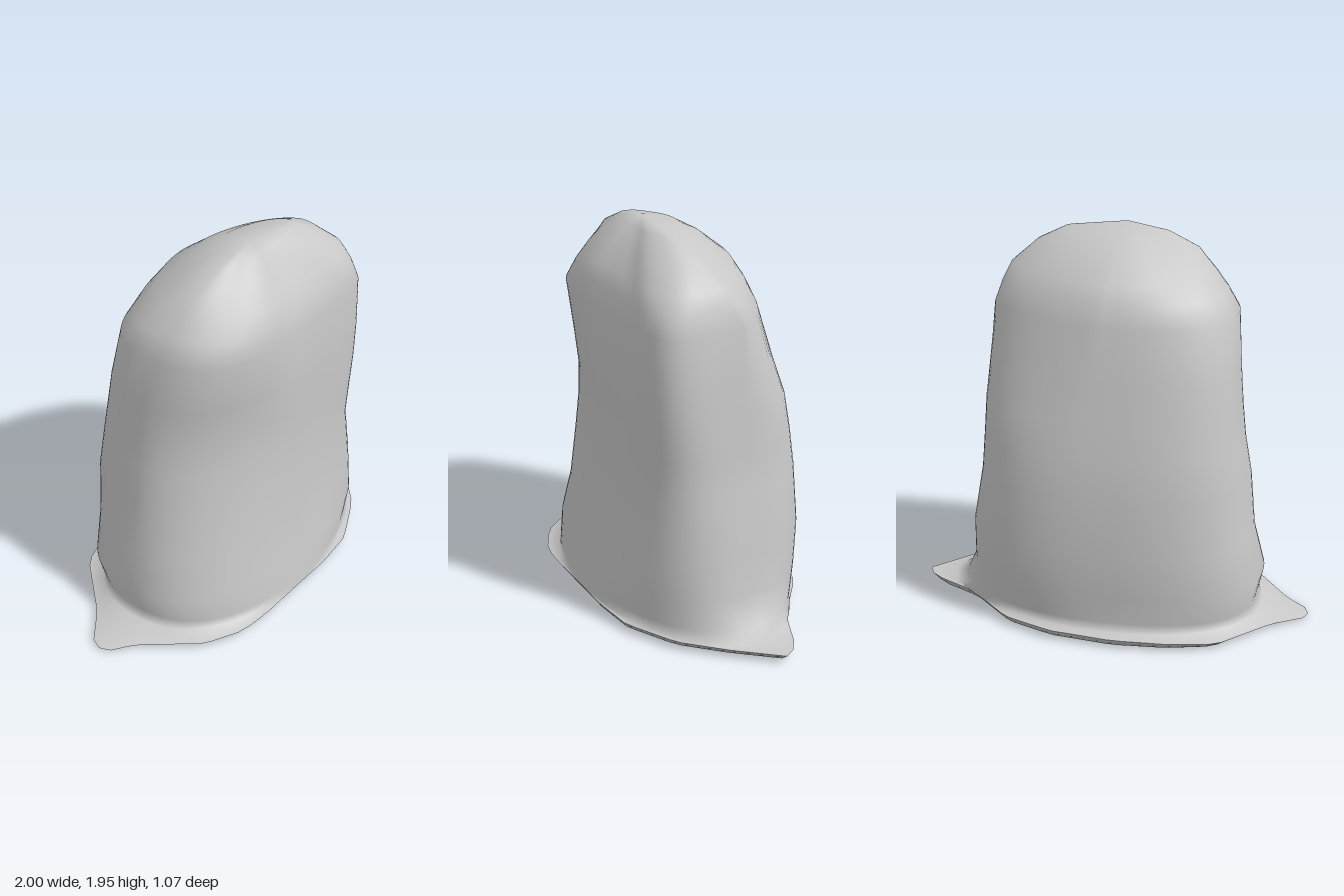
import * as THREE from 'three';

const SEGMENTS = 72;
const angles = Array.from({ length: SEGMENTS }, (_, i) => (i / SEGMENTS) * Math.PI * 2);
const bump = (t, centre, width) => Math.exp(-(((t - centre) / width) ** 2));

// Outline of the spread hem, [x, z], counted from the +x tip round the front
const HEM = [
  [1, 0], [0.82, 0.2], [0.63, 0.38], [0.37, 0.51], [0.15, 0.53], [-0.33, 0.52],
  [-0.49, 0.5], [-0.67, 0.4], [-0.88, 0.13], [-1, 0.04], [-1, -0.04], [-0.83, -0.17],
  [-0.6, -0.44], [-0.37, -0.51], [-0.1, -0.54], [0.22, -0.51], [0.47, -0.42],
  [0.71, -0.2], [0.96, -0.08],
];

// Cloth sections: y, right x, left x, front z, back z, front dent, pleat depth,
// then corner squareness: front left, front right, back right, back left
const SECTIONS = [
  [0.055, -0.76, 0.85, 0.525, -0.475, 0, 0, 2, 2.2, 2.3, 1.7],
  [0.1, -0.735, 0.78, 0.52, -0.46, 0, 0, 2.1, 2.3, 2.5, 2],
  [0.24, -0.765, 0.715, 0.5, -0.48, 0, 0, 2.9, 2.2, 2.6, 2.4],
  [0.46, -0.71, 0.71, 0.465, -0.485, 0, 0, 3.1, 2.1, 2.6, 2.5],
  [0.75, -0.685, 0.655, 0.447, -0.475, 0.005, 0, 3.3, 1.95, 2.7, 2.6],
  [0.95, -0.65, 0.64, 0.445, -0.445, 0.015, 0, 3.9, 1.9, 2.8, 2.6],
  [1.12, -0.632, 0.632, 0.445, -0.415, 0.015, 0, 4.5, 1.9, 2.8, 2.5],
  [1.3, -0.617, 0.62, 0.445, -0.38, 0.005, 0, 5, 2.1, 2.8, 2],
  [1.56, -0.595, 0.6, 0.44, -0.335, 0, 0.02, 5.5, 2.9, 2.5, 1.55],
  [1.66, -0.54, 0.57, 0.42, -0.295, 0, 0.05, 4.8, 2.6, 2.3, 1.5],
  [1.74, -0.48, 0.535, 0.39, -0.245, 0, 0.1, 4, 2.4, 2.1, 1.5],
  [1.84, -0.39, 0.42, 0.31, -0.12, 0, 0.18, 3, 2.2, 2, 1.6],
  [1.91, -0.24, 0.28, 0.235, 0, 0, 0.2, 2.5, 2, 2, 1.7],
];

// Where a ray from the centre crosses the hem outline
function hemPoint(t) {
  const dx = 1.5 * Math.cos(t), dz = Math.sin(t);
  for (let i = 0; i < HEM.length; i++) {
    const [ax, az] = HEM[i], [bx, bz] = HEM[(i + 1) % HEM.length];
    const ex = bx - ax, ez = bz - az;
    const det = dx * ez - dz * ex;
    const r = (ax * ez - az * ex) / det;
    const s = (ax * dz - az * dx) / det;
    if (r > 0 && s >= -1e-6 && s <= 1 + 1e-6) return [dx * r, dz * r];
  }
  return [dx * 0.6, dz * 0.5];
}

// Hem edge: low at the right tip, raised elsewhere
function hemRing(scale, lift) {
  return angles.map((t) => {
    const [x, z] = hemPoint(t);
    const y = x > 0 ? 0.05 : 0.05 + 0.038 * x * Math.abs(x);
    return [x * scale, y * lift, z * scale];
  });
}

function clothRing([y, xr, xl, zf, zb, dent, pleat, ...corners]) {
  const k = THREE.MathUtils.smoothstep(y, 1.5, 1.95);
  const cx = -0.03 * k, cz = 0.16 * k;
  return angles.map((t) => {
    const c = Math.cos(t), s = Math.sin(t);
    const p = 2 / corners[Math.floor(t / (Math.PI / 2))];
    const fold = 1 - pleat * (bump(t, 1.45, 0.22) + 0.7 * bump(t, 2.45, 0.45) + 0.4 * bump(t, 4, 0.4));
    const x = Math.abs(c) ** p * (c > 0 ? xl - cx : xr - cx) * fold;
    const z = Math.abs(s) ** p * (s > 0 ? zf - cz : zb - cz) * fold;
    return [cx + x, y, cz + z - dent * bump(t, 1.95, 0.45)];
  });
}

// Skin rings from bottom to top, optionally closing either end to a point
function loft(rings, bottom, top) {
  const points = rings.flat();
  const index = [];
  const next = (j) => (j + 1) % SEGMENTS;
  for (let i = 0; i < rings.length - 1; i++) {
    for (let j = 0; j < SEGMENTS; j++) {
      const a = i * SEGMENTS + j, b = i * SEGMENTS + next(j);
      index.push(a, a + SEGMENTS, b, b, a + SEGMENTS, b + SEGMENTS);
    }
  }
  if (bottom) {
    points.push(bottom);
    for (let j = 0; j < SEGMENTS; j++) index.push(points.length - 1, j, next(j));
  }
  if (top) {
    const o = (rings.length - 1) * SEGMENTS;
    points.push(top);
    for (let j = 0; j < SEGMENTS; j++) index.push(o + j, points.length - 1, o + next(j));
  }
  const geometry = new THREE.BufferGeometry();
  geometry.setAttribute('position', new THREE.Float32BufferAttribute(points.flat(), 3));
  geometry.setIndex(index);
  geometry.computeVertexNormals();
  return geometry;
}

export function createModel() {
  const group = new THREE.Group();
  group.name = 'drapedSack';
  const cloth = new THREE.MeshStandardMaterial({ color: 0xc8c8c8 });
  cloth.name = 'greyCloth';

  const add = (name, geometry) => {
    const mesh = new THREE.Mesh(geometry, cloth);
    mesh.name = name;
    group.add(mesh);
  };

  // Draped body with its spread hem and gathered peak
  add('drapedCloth', loft([hemRing(1, 1), ...SECTIONS.map(clothRing)], null, [-0.03, 1.95, 0.16]));
  // Closed underside
  add('underside', loft([hemRing(0.96, 0.3), hemRing(1, 1)], [0, 0.015, 0], null));
  // Rest the lowest point on the ground
  const box = new THREE.Box3().setFromObject(group);
  group.children.forEach((mesh) => mesh.geometry.translate(0, -box.min.y, 0));
  return group;
}
